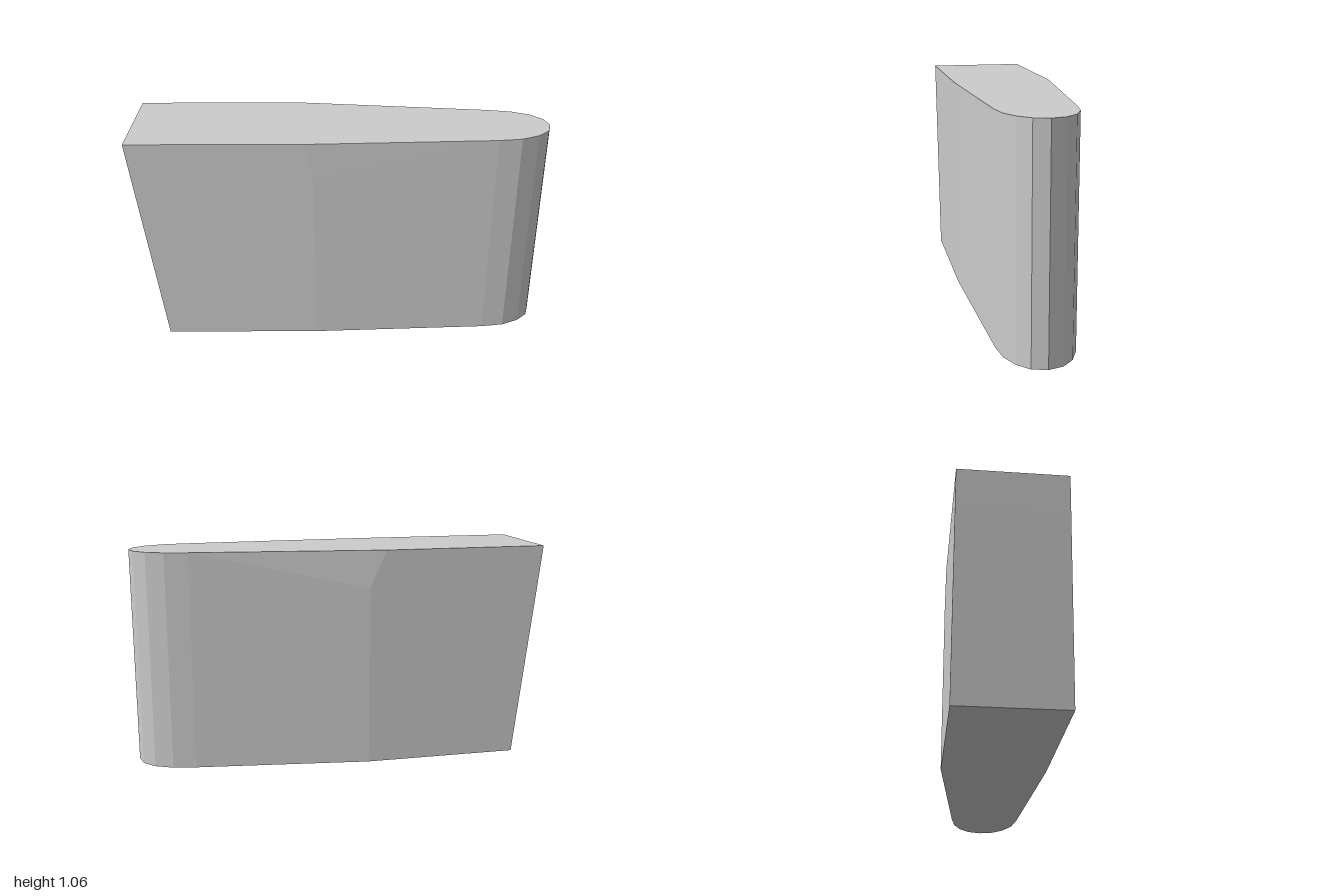
import * as THREE from 'three';

const HEIGHT = 1.06;

// Plan outline [x, z] of one level, from the rear corner round the nose to the front corner
function outline(endX, backKnee, frontKnee) {
  return [
    [endX, -0.25], [backKnee, -0.25],
    [0.73, -0.148], [0.84, -0.128], [0.925, -0.09], [0.98, -0.035],
    [1, 0.035],
    [0.98, 0.105], [0.925, 0.158], [0.84, 0.197], [0.73, 0.212],
    [frontKnee, 0.25], [endX, 0.25],
  ];
}

export function createModel() {
  const group = new THREE.Group();
  group.name = 'taperedBlock';
  const grey = new THREE.MeshStandardMaterial({ color: 0xcccccc, flatShading: true });
  grey.name = 'plain grey';

  // The tapered sides start a little further back at the very top
  const levels = [
    { y: 0, ring: outline(-0.88, -0.12, -0.13) },
    { y: 0.88, ring: outline(-0.98, -0.12, -0.13) },
    { y: HEIGHT, ring: outline(-1, -0.2, -0.17) },
  ];
  const n = levels[0].ring.length;
  const point = (l, i) => {
    const [x, z] = levels[l].ring[i % n];
    return [x, levels[l].y, z];
  };
  const positions = [];
  const tri = (a, b, c) => positions.push(...a, ...b, ...c);

  // Side walls, split along mirrored diagonals, including the sloping end
  for (let l = 0; l < levels.length - 1; l++) {
    for (let i = 0; i < n; i++) {
      const a = point(l, i), b = point(l, i + 1);
      const c = point(l + 1, i + 1), d = point(l + 1, i);
      if (i < n / 2) {
        tri(a, d, c);
        tri(a, c, b);
      } else {
        tri(a, d, b);
        tri(d, c, b);
      }
    }
  }

  // Flat top and bottom
  const top = levels.length - 1;
  for (let i = 1; i < n - 1; i++) {
    tri(point(top, 0), point(top, i + 1), point(top, i));
    tri(point(0, 0), point(0, i), point(0, i + 1));
  }

  const geometry = new THREE.BufferGeometry();
  geometry.setAttribute('position', new THREE.Float32BufferAttribute(positions, 3));
  geometry.computeVertexNormals();
  const body = new THREE.Mesh(geometry, grey);
  body.name = 'roundNosedBody';
  group.add(body);
  return group;
}
